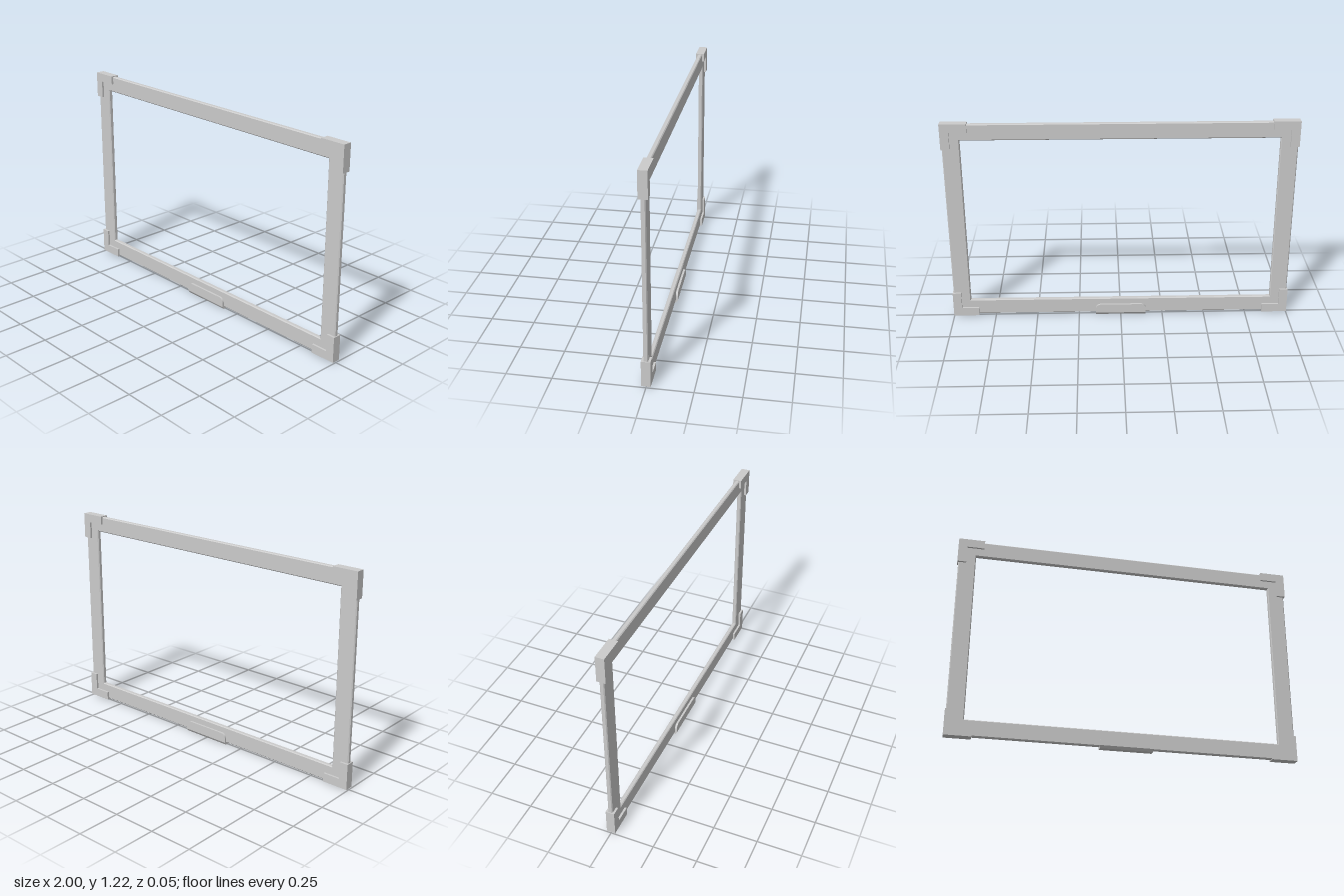
import * as THREE from 'three';

const material = new THREE.MeshStandardMaterial({ color: 0xcccccc, flatShading: true });

function polygon(points) {
  return new THREE.Shape(points.map(([x, y]) => new THREE.Vector2(x, y)));
}

// Extrudes a shape symmetrically about z = 0, with an optional chamfer inside the outline
function slab(shape, depth, bevel = 0) {
  const geometry = new THREE.ExtrudeGeometry(shape, {
    depth: depth - 2 * bevel,
    bevelEnabled: bevel > 0,
    bevelSize: bevel,
    bevelThickness: bevel,
    bevelOffset: -bevel,
    bevelSegments: 1,
    curveSegments: 4,
  });
  return geometry.translate(0, 0, -depth / 2 + bevel);
}

function addMesh(parent, name, geometry) {
  const mesh = new THREE.Mesh(geometry, material);
  mesh.name = name;
  parent.add(mesh);
  return mesh;
}

export function createModel() {
  const model = new THREE.Group();
  model.name = 'rectangularFrame';

  // Flat frame with chamfered edges and an open middle
  const outline = polygon([[-0.995, 0.013], [0.995, 0.013], [0.995, 1.215], [-0.995, 1.215]]);
  outline.holes.push(polygon([[-0.895, 0.108], [-0.895, 1.12], [0.895, 1.12], [0.895, 0.108]]));
  addMesh(model, 'frame', slab(outline, 0.026, 0.005));

  // L-shaped corner guards, turned a quarter for each corner
  const size = 0.15, arm = 0.05;
  const guard = slab(polygon([[0, 0], [size, 0], [size, arm], [arm, arm], [arm, size], [0, size]]), 0.05);
  const corners = [
    ['lowerRightCorner', -1, 0.008], ['lowerLeftCorner', 1, 0.008],
    ['upperLeftCorner', 1, 1.22], ['upperRightCorner', -1, 1.22],
  ];
  corners.forEach(([name, x, y], i) => {
    const corner = addMesh(model, name, guard);
    corner.position.set(x, y, 0);
    corner.rotation.z = i * Math.PI / 2;
  });

  // Grip at the bottom centre, with rounded upper corners
  const w = 0.15, top = 0.07, low = 0.015, r = 0.03;
  const face = new THREE.Shape();
  face.moveTo(-w, low);
  face.lineTo(w, low);
  face.lineTo(w, top - r);
  face.absarc(w - r, top - r, r, 0, Math.PI / 2);
  face.absarc(-w + r, top - r, r, Math.PI / 2, Math.PI);
  const grip = new THREE.Group();
  grip.name = 'grip';
  addMesh(grip, 'gripBody', slab(face, 0.05));

  // Tapered underside of the grip
  const taper = new THREE.ExtrudeGeometry(
    polygon([[-0.015, 0], [0.015, 0], [0.025, low], [-0.025, low]]),
    { depth: 2 * w, bevelEnabled: false },
  );
  taper.translate(0, 0, -w).rotateY(Math.PI / 2);
  addMesh(grip, 'gripUnderside', taper);
  model.add(grip);

  return model;
}
